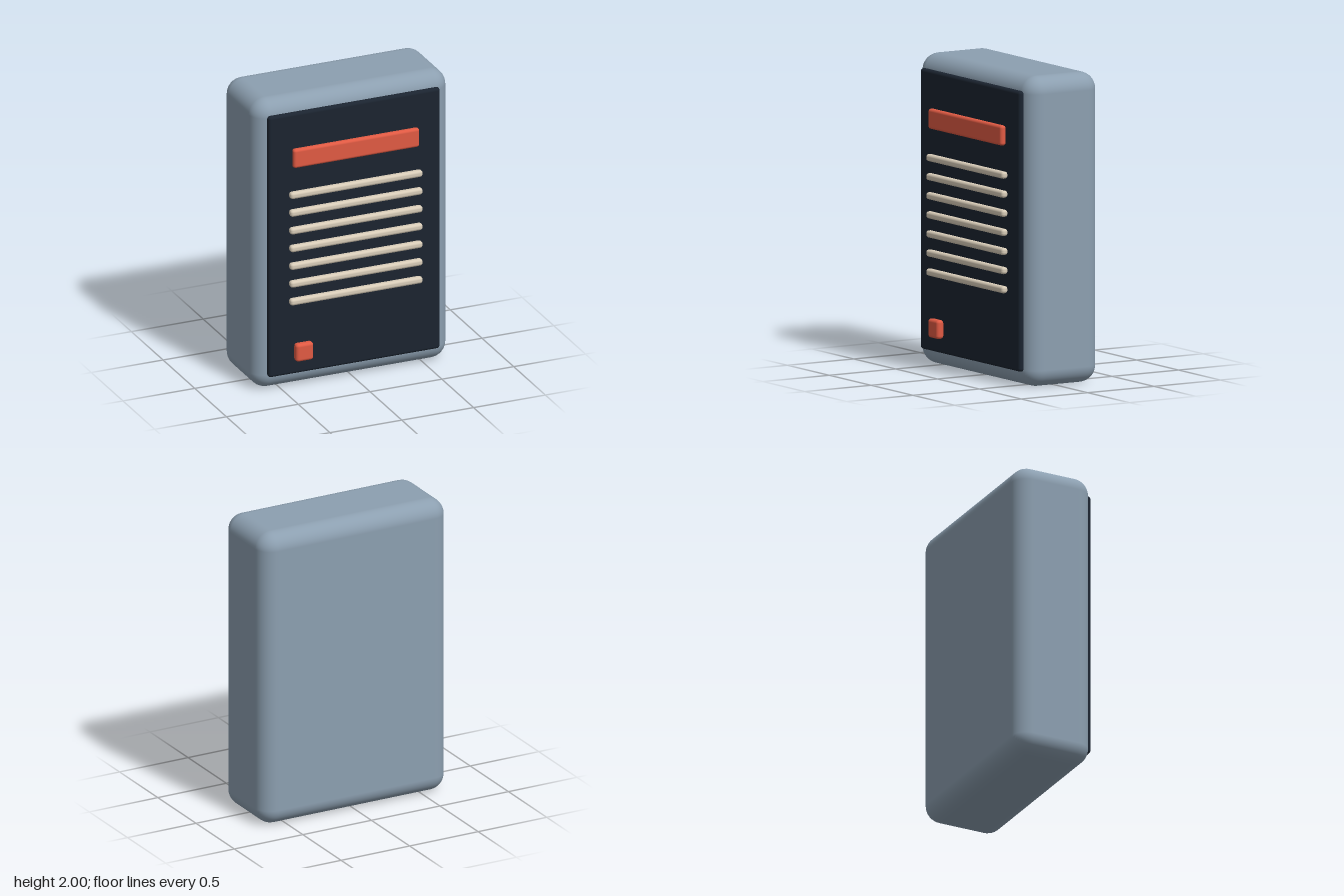
import * as THREE from 'three';
import { RoundedBoxGeometry } from 'three/addons/geometries/RoundedBoxGeometry.js';

const paint = (color) => new THREE.MeshStandardMaterial({ color });

// Rounded block given by its extents on each axis
function block(name, [x0, x1], [y0, y1], [z0, z1], radius, segments, material) {
  const geometry = new RoundedBoxGeometry(x1 - x0, y1 - y0, z1 - z0, segments, radius);
  const mesh = new THREE.Mesh(geometry, material);
  mesh.name = name;
  mesh.position.set((x0 + x1) / 2, (y0 + y1) / 2, (z0 + z1) / 2);
  return mesh;
}

export function createModel() {
  const model = new THREE.Group();
  model.name = 'speakerUnit';

  const shell = paint(0x8c9fb0);
  const dark = paint(0x1b2430);
  const red = paint(0xe05a43);
  const cream = paint(0xd8ccb8);

  // Casing and the raised front panel
  model.add(block('casing', [-0.68, 0.68], [0, 2], [-0.308, 0.233], 0.11, 6, shell));
  model.add(block('frontPanel', [-0.597, 0.597], [0.1, 1.908], [0.19, 0.258], 0.02, 3, dark));

  // Display strip and power button
  model.add(block('displayStrip', [-0.44, 0.437], [1.54, 1.67], [0.255, 0.298], 0.018, 3, red));
  model.add(block('powerButton', [-0.427, -0.305], [0.198, 0.32], [0.255, 0.308], 0.02, 3, red));

  // Horizontal grille bars
  const grille = new THREE.Group();
  grille.name = 'grille';
  for (let i = 0; i < 7; i++) {
    const y = 0.614 + i * 0.123;
    grille.add(block('grilleBar', [-0.462, 0.459], [y - 0.023, y + 0.023], [0.255, 0.301], 0.018, 2, cream));
  }
  model.add(grille);

  return model;
}
